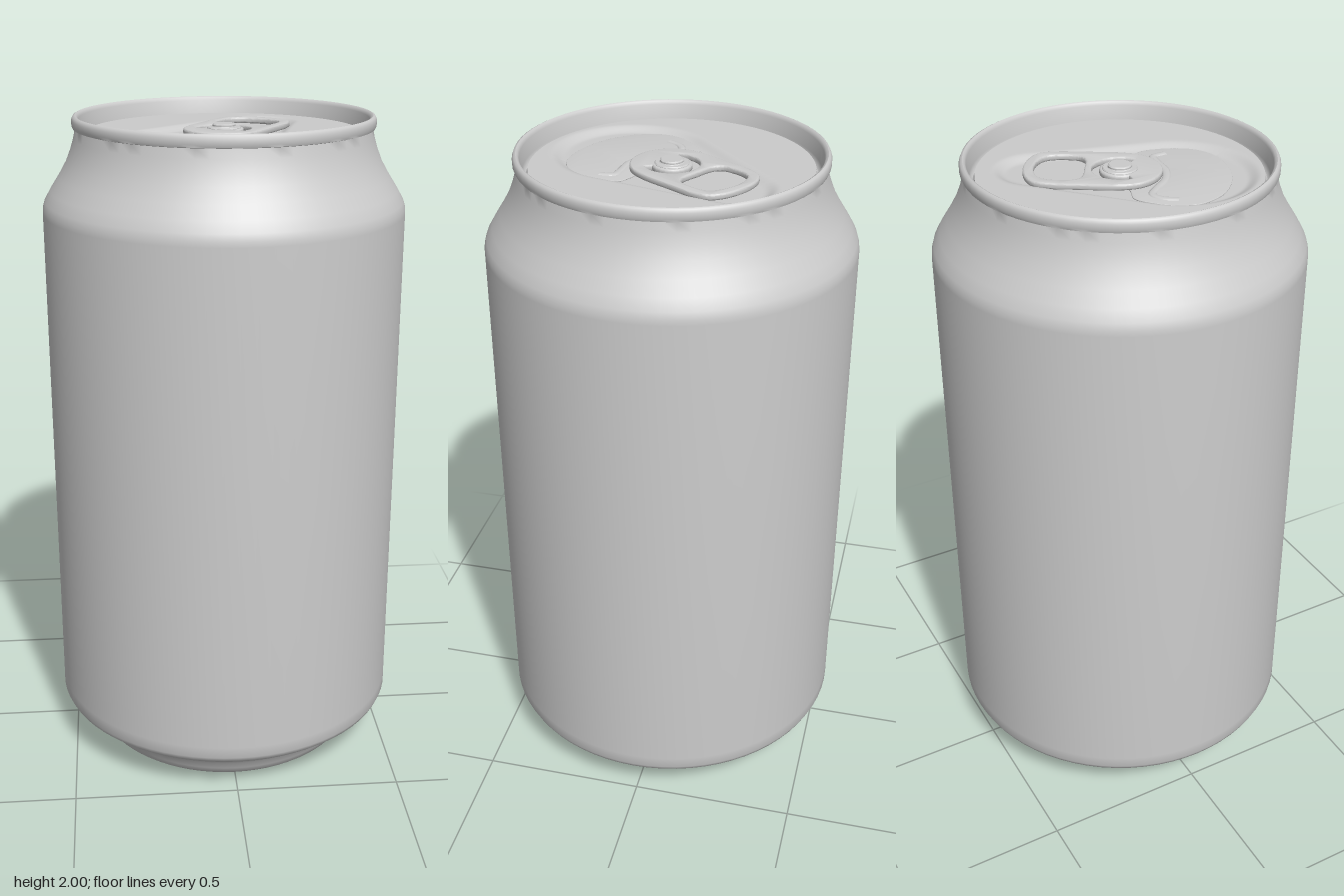
import * as THREE from 'three';
import { toCreasedNormals } from 'three/addons/utils/BufferGeometryUtils.js';

const SEGMENTS = 72;
const FLOOR = 1.95;          // lid surface
const RECESS = 0.015;        // depth of the pressed panel
const PANEL = FLOOR - RECESS;
const TAB_TURN = -0.55;      // tab and panel are turned about the rivet

const v2 = (pts) => pts.map(([x, y]) => new THREE.Vector2(x, y));

function addMesh(parent, name, geometry, material) {
  const mesh = new THREE.Mesh(geometry, material);
  mesh.name = name;
  parent.add(mesh);
  return mesh;
}

// Extrude a shape drawn in (x, -z) upwards with softened edges
function plate(shape, height, bevel) {
  const g = new THREE.ExtrudeGeometry(shape, {
    depth: height - 2 * bevel, bevelEnabled: true, bevelThickness: bevel,
    bevelSize: bevel, bevelOffset: -bevel, bevelSegments: 3, curveSegments: 20,
  });
  g.translate(0, 0, bevel);
  g.rotateX(-Math.PI / 2);
  return toCreasedNormals(g, 0.6);
}

// Closed smooth outline through a few points
function outline(pts, PathType = THREE.Shape) {
  const curve = new THREE.CatmullRomCurve3(pts.map(([x, y]) => new THREE.Vector3(x, y, 0)), true, 'centripetal');
  return new PathType(curve.getPoints(96).slice(0, -1).map((p) => new THREE.Vector2(p.x, p.y)));
}

// Mirror half an outline (right side, front to back) across x = 0
const mirrored = (half) => [...half, ...half.slice().reverse().filter(([x]) => x > 0).map(([x, y]) => [-x, y])];

// Signed distance to a teardrop: big circle at the mouth, small one behind the tab
function teardrop(x, z) {
  const [zA, rA, zB, rB] = [0.16, 0.235, -0.24, 0.12];
  const length = zA - zB;
  const b = (rA - rB) / length;
  const a = Math.sqrt(1 - b * b);
  const px = Math.abs(x), py = zA - z;
  const k = -b * px + a * py;
  if (k < 0) return Math.hypot(px, py) - rA;
  if (k > a * length) return Math.hypot(px, py - length) - rB;
  return px * a + py * b - rA;
}

function lidGeometry() {
  const rings = 70;
  const pts = [];
  for (let i = 0; i <= rings; i++) pts.push(new THREE.Vector2(0.405 * (1 - i / rings), FLOOR));
  const g = new THREE.LatheGeometry(pts, 144);
  const p = g.attributes.position;
  const c = Math.cos(TAB_TURN), s = Math.sin(TAB_TURN);
  for (let i = 0; i < p.count; i++) {
    const x = p.getX(i), z = p.getZ(i);
    const d = teardrop(x * c - z * s, x * s + z * c);
    p.setY(i, FLOOR - RECESS * THREE.MathUtils.smoothstep(-d, 0, 0.04));
  }
  g.computeVertexNormals();
  return g;
}

export function createModel() {
  const can = new THREE.Group();
  can.name = 'drinkCan';
  const metal = new THREE.MeshStandardMaterial({ color: 0xcccccc });

  // Body: domed base, foot ring, wall, neck, rolled rim and countersink
  const profile = v2([
    [0, 0.17], [0.1, 0.163], [0.2, 0.138], [0.28, 0.1], [0.34, 0.055], [0.365, 0.025], [0.378, 0.006],
    [0.39, 0], [0.403, 0], [0.415, 0.01], [0.425, 0.03], [0.436, 0.055], [0.455, 0.078], [0.485, 0.097],
    [0.515, 0.115], [0.533, 0.13], [0.54, 0.145], [0.54, 0.18],
    [0.54, 1.72], [0.539, 1.735], [0.533, 1.755], [0.515, 1.786], [0.49, 1.825], [0.467, 1.865],
    [0.451, 1.905], [0.442, 1.935], [0.436, 1.962],
    [0.443, 1.964], [0.446, 1.972], [0.446, 1.988], [0.442, 1.997], [0.436, 2], [0.43, 1.997], [0.426, 1.988],
    [0.421, 1.945], [0.418, 1.933], [0.413, 1.929], [0.408, 1.933], [0.405, FLOOR],
  ]);
  addMesh(can, 'body', toCreasedNormals(new THREE.LatheGeometry(profile, SEGMENTS), 0.75), metal);

  // Lid with its pressed panel
  addMesh(can, 'lid', lidGeometry(), metal);

  // Scored mouth panel and its raised bead
  const mouth = outline([
    [-0.06, 0.02], [-0.115, 0.03], [-0.165, 0.045], [-0.215, 0.015], [-0.265, -0.04], [-0.28, -0.1],
    [-0.255, -0.18], [-0.19, -0.25], [-0.1, -0.297], [0, -0.31], [0.06, -0.285], [0.105, -0.23],
    [0.125, -0.16], [0.12, -0.12], [0.08, -0.095], [0.02, -0.06],
  ]);
  addMesh(can, 'mouthPanel', plate(mouth, 0.004, 0.0015), metal).position.y = PANEL - 0.0005;
  const beadPath = new THREE.CatmullRomCurve3([
    [-0.225, 0.06], [-0.2, 0.025], [-0.165, 0.012], [-0.13, 0.045], [-0.09, 0.095], [-0.03, 0.13],
    [0.04, 0.14], [0.075, 0.15], [0.08, 0.19],
  ].map(([x, z]) => new THREE.Vector3(x, 0, z)));
  const bead = addMesh(can, 'mouthBead', new THREE.TubeGeometry(beadPath, 48, 0.012, 10), metal);
  bead.scale.y = 0.4;
  bead.position.y = PANEL + 0.002;

  // Pull tab with finger hole and a curved slot round the rivet
  const tab = new THREE.Group();
  tab.name = 'pullTab';
  tab.rotation.y = TAB_TURN;
  tab.position.y = PANEL + 0.005;
  can.add(tab);

  const tabShape = outline(mirrored([
    [0, -0.12], [0.06, -0.104], [0.104, -0.06], [0.12, 0], [0.121, 0.1], [0.119, 0.19],
    [0.105, 0.235], [0.07, 0.26], [0, 0.272],
  ]));
  tabShape.holes.push(outline(mirrored([
    [0, 0.1], [0.06, 0.102], [0.083, 0.118], [0.09, 0.15], [0.088, 0.19], [0.076, 0.217], [0.045, 0.235], [0, 0.242],
  ]), THREE.Path));
  const slot = new THREE.Path();
  const from = -0.5, to = Math.PI + 0.5;
  slot.absarc(0, 0, 0.08, from, to, false);
  slot.absarc(0, 0, 0.058, to, from, true);
  tabShape.holes.push(slot);
  addMesh(tab, 'tabPlate', plate(tabShape, 0.018, 0.005), metal);

  // Rivet: low collar with a button on top
  const rivet = v2([
    [0.05, 0], [0.05, 0.019], [0.047, 0.022], [0.036, 0.022], [0.034, 0.024],
    [0.034, 0.028], [0.03, 0.031], [0, 0.031],
  ]);
  addMesh(tab, 'rivet', toCreasedNormals(new THREE.LatheGeometry(rivet, 40), 0.6), metal);

  return can;
}
